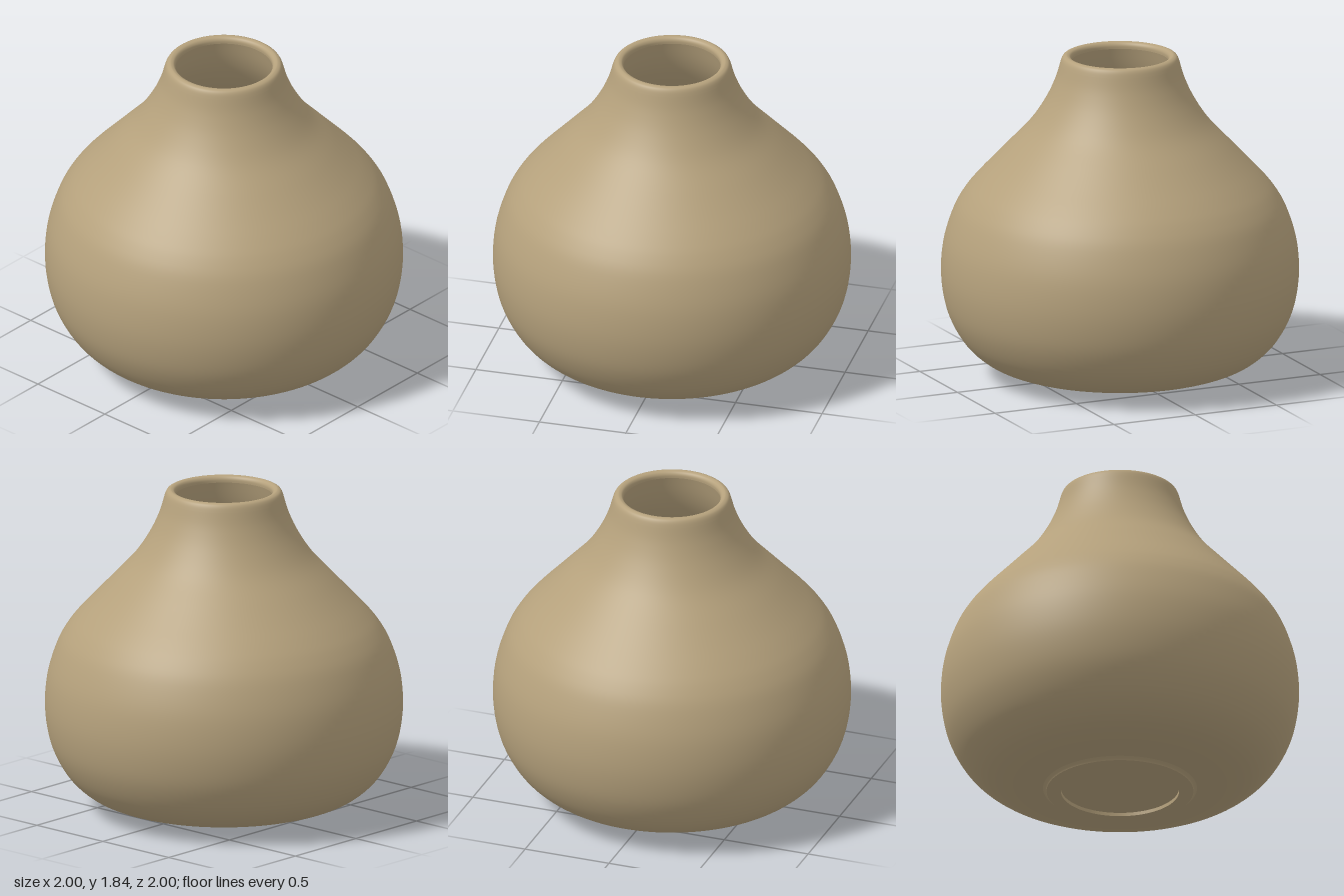
import * as THREE from 'three';

const clay = new THREE.MeshStandardMaterial({ color: 0xb5a17c });
clay.name = 'clay';

const SEGMENTS = 128;
const toPoints = (pairs) => pairs.map(([x, y]) => new THREE.Vector2(x, y));

// Revolve a profile; the smooth option passes a spline through its points
function turned(name, pairs, smoothSteps = 0) {
  let points = toPoints(pairs);
  if (smoothSteps) points = new THREE.SplineCurve(points).getPoints(smoothSteps);
  const mesh = new THREE.Mesh(new THREE.LatheGeometry(points, SEGMENTS), clay);
  mesh.name = name;
  return mesh;
}

export function createModel() {
  const vase = new THREE.Group();
  vase.name = 'vase';

  // Underside: shallow recess, its wall, the flat foot ring and its outer edge
  vase.add(turned('baseRecess', [[0, 0.02], [0.33, 0.02]]));
  vase.add(turned('recessWall', [[0.33, 0.02], [0.33, 0]]));
  vase.add(turned('footRing', [[0.33, 0], [0.41, 0]]));
  vase.add(turned('footEdge', [[0.41, 0], [0.415, 0.008], [0.43, 0.018]]));

  // Swelling belly drawn in to a short neck
  vase.add(turned('body', [
    [0.43, 0.018], [0.54, 0.034], [0.66, 0.06], [0.77, 0.11], [0.87, 0.2],
    [0.945, 0.325], [0.985, 0.455], [1, 0.61], [0.983, 0.78], [0.93, 0.945],
    [0.87, 1.05], [0.8, 1.135], [0.71, 1.23], [0.62, 1.325], [0.5, 1.455],
    [0.415, 1.585], [0.362, 1.7], [0.335, 1.79],
  ], 72));

  // Rounded lip
  vase.add(turned('lip', [
    [0.335, 1.79], [0.327, 1.815], [0.317, 1.831], [0.303, 1.838],
    [0.293, 1.838], [0.28, 1.832], [0.272, 1.818], [0.272, 1.8],
  ], 24));

  // Hollow inside, following the outer wall down to a flat floor
  vase.add(turned('interior', [
    [0.272, 1.8], [0.31, 1.68], [0.365, 1.565], [0.46, 1.425], [0.58, 1.29],
    [0.76, 1.1], [0.885, 0.92], [0.935, 0.77], [0.95, 0.61], [0.935, 0.465],
    [0.895, 0.345], [0.83, 0.235], [0.74, 0.155], [0.64, 0.11], [0.53, 0.085], [0.41, 0.07],
  ], 60));
  vase.add(turned('floor', [[0.41, 0.07], [0, 0.07]]));

  return vase;
}
